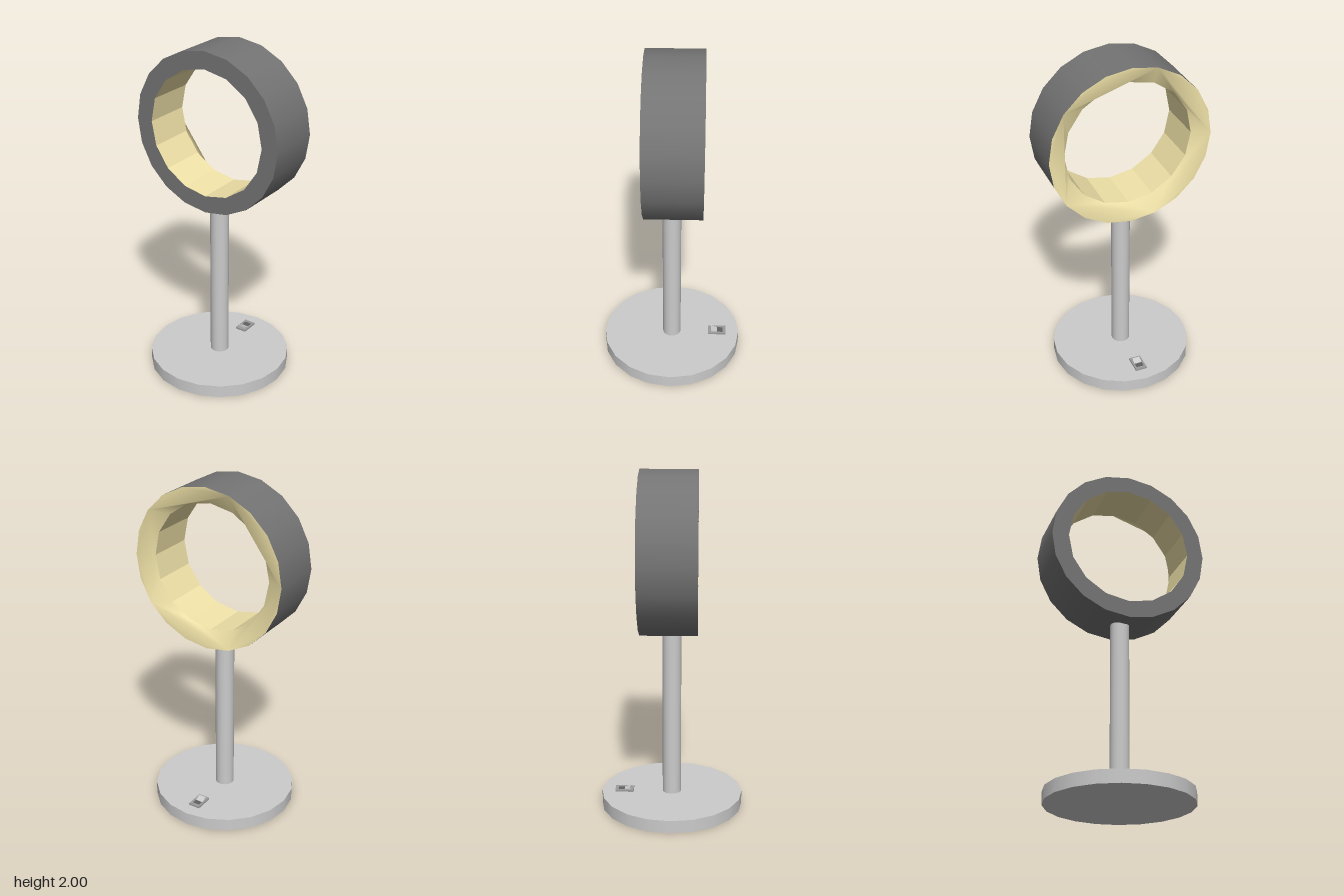
import * as THREE from 'three';

const RING_Y = 1.53, OUTER = 0.47, INNER = 0.37;
const FRONT = 0.15, BACK = -0.18, LIP = -0.135;
const AXIS_X = -0.007;

const material = (color, extra = {}) => {
  const m = new THREE.MeshStandardMaterial({ color });
  return Object.assign(m, extra);
};

function part(name, geometry, mat, x = 0, y = 0, z = 0) {
  const mesh = new THREE.Mesh(geometry, mat);
  mesh.name = name;
  mesh.position.set(x, y, z);
  return mesh;
}

// Regular polygon with one corner straight up
function polygon(radius, sides) {
  return Array.from({ length: sides }, (_, i) => {
    const a = Math.PI / 2 + (i / sides) * Math.PI * 2;
    return new THREE.Vector2(Math.cos(a) * radius, Math.sin(a) * radius);
  });
}

// Annulus between the 20-sided rim and the 16-sided opening, with a depth for each edge
function annulus(rimZ, openingZ) {
  const shape = new THREE.Shape(polygon(OUTER, 20));
  shape.holes.push(new THREE.Path(polygon(INNER, 16)));
  const geometry = new THREE.ShapeGeometry(shape);
  const p = geometry.attributes.position;
  for (let i = 0; i < p.count; i++) {
    const onRim = Math.hypot(p.getX(i), p.getY(i)) > (OUTER + INNER) / 2;
    p.setZ(i, onRim ? rimZ : openingZ);
  }
  geometry.computeVertexNormals();
  return geometry;
}

// Open tube along z
function tube(radius, sides, z0, z1) {
  const geometry = new THREE.CylinderGeometry(radius, radius, z1 - z0, sides, 1, true);
  geometry.rotateX(Math.PI / 2);
  geometry.translate(0, 0, (z0 + z1) / 2);
  return geometry;
}

export function createModel() {
  const model = new THREE.Group();
  model.name = 'ringLamp';

  const grey = material(0xcccccc);
  const dark = material(0x747474, { side: THREE.DoubleSide });
  const glow = material(0xf0e2a8, { side: THREE.DoubleSide });
  const glowFlat = material(0xf0e2a8, { side: THREE.DoubleSide, flatShading: true });

  // Stand
  model.add(part('base', new THREE.CylinderGeometry(0.42, 0.42, 0.075, 20), grey, AXIS_X, 0.0375, 0));
  model.add(part('pole', new THREE.CylinderGeometry(0.055, 0.055, 1.01, 20), grey, AXIS_X, 0.57, 0));

  // Ring head: dark shell outside, pale light surface inside and behind
  const head = new THREE.Group();
  head.name = 'ringHead';
  head.position.y = RING_Y;
  head.add(part('outerShell', tube(OUTER, 20, BACK, FRONT), dark));
  head.add(part('frontFace', annulus(FRONT, FRONT), dark));
  head.add(part('innerLight', tube(INNER, 16, LIP, FRONT), glowFlat));
  head.add(part('backLight', annulus(BACK, LIP), glow));
  model.add(head);

  // Rocker switch on the rear of the base
  const toggle = new THREE.Group();
  toggle.name = 'switch';
  toggle.position.set(AXIS_X, 0.075, -0.285);
  const frame = new THREE.Shape([[-0.035, -0.055], [0.035, -0.055], [0.035, 0.055], [-0.035, 0.055]]
    .map(([x, y]) => new THREE.Vector2(x, y)));
  frame.holes.push(new THREE.Path([[-0.023, -0.036], [-0.023, 0.036], [0.023, 0.036], [0.023, -0.036]]
    .map(([x, y]) => new THREE.Vector2(x, y))));
  const frameGeometry = new THREE.ExtrudeGeometry(frame, { depth: 0.011, bevelEnabled: false });
  frameGeometry.rotateX(-Math.PI / 2);
  toggle.add(part('switchFrame', frameGeometry, material(0x9c9c9c)));
  toggle.add(part('rockerLow', new THREE.BoxGeometry(0.046, 0.007, 0.036), material(0x606060), 0, 0.0035, -0.018));

  // Raised half, a wedge rising toward the front
  const wedge = new THREE.Shape([[0, 0], [0.036, 0], [0.036, 0.022], [0, 0.008]]
    .map(([x, y]) => new THREE.Vector2(x, y)));
  const wedgeGeometry = new THREE.ExtrudeGeometry(wedge, { depth: 0.046, bevelEnabled: false });
  wedgeGeometry.rotateY(-Math.PI / 2);
  wedgeGeometry.translate(0.023, 0, 0);
  toggle.add(part('rockerRaised', wedgeGeometry, material(0xebebeb)));
  model.add(toggle);

  return model;
}
